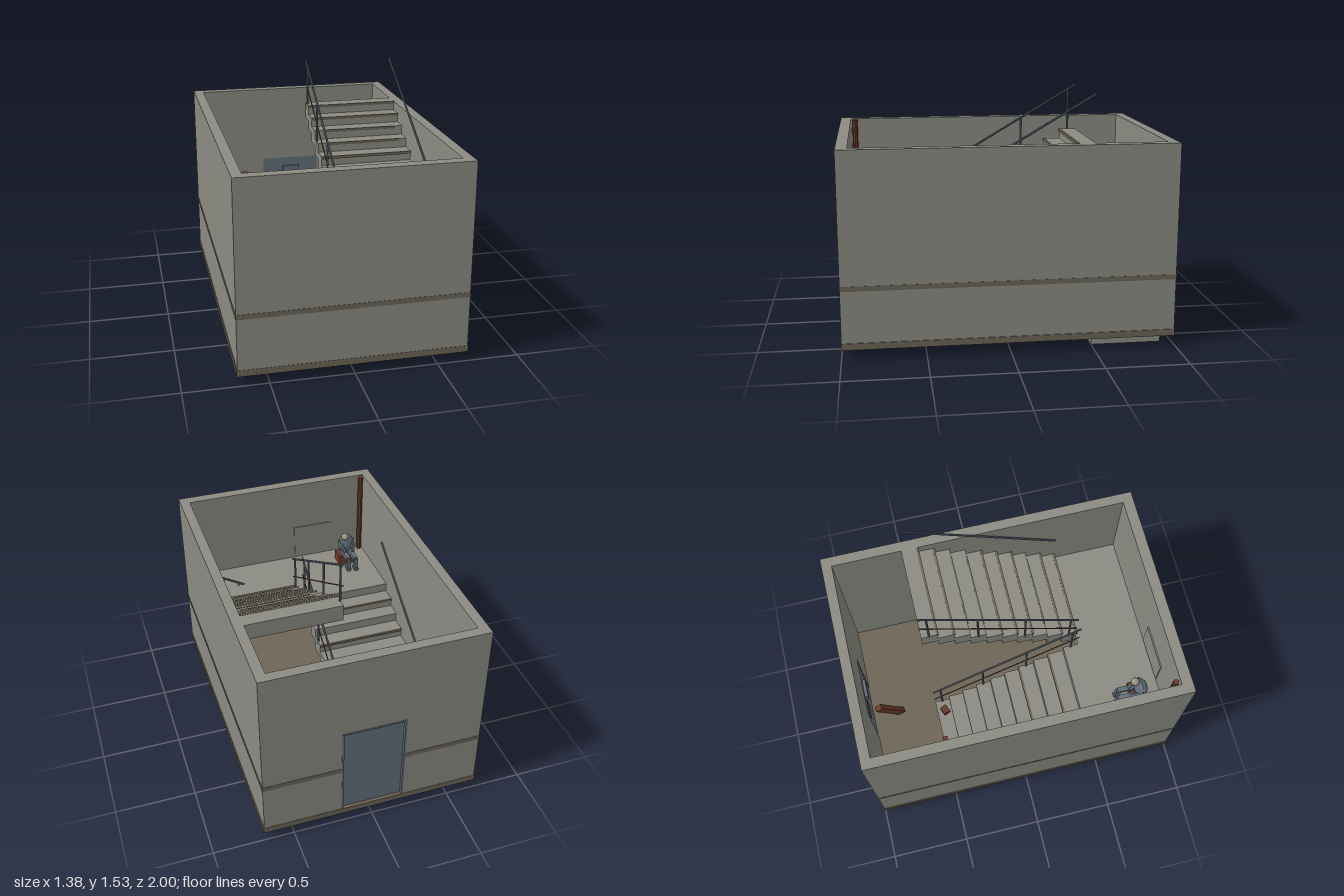
import * as THREE from 'three';

const mat = (name, color) => {
  const m = new THREE.MeshStandardMaterial({ color, flatShading: true });
  m.name = name;
  return m;
};

export function createModel() {
  const root = new THREE.Group();
  root.name = 'stairwell';
  const concrete = mat('concrete', 0x8b8b83);
  const brown = mat('brownPaint', 0x6c6557);
  const steel = mat('steel', 0x636e7a);
  const rust = mat('rust', 0x6b3a2a);
  const skin = mat('paleSkin', 0xa39a86);

  const add = (name, geo, m, parent = root) => {
    const mesh = new THREE.Mesh(geo, m);
    mesh.name = name;
    parent.add(mesh);
    return mesh;
  };
  // Box given by its limits on each axis
  const box = (name, m, [x0, x1], [y0, y1], [z0, z1], parent = root) => {
    const b = add(name, new THREE.BoxGeometry(x1 - x0, y1 - y0, z1 - z0), m, parent);
    b.position.set((x0 + x1) / 2, (y0 + y1) / 2, (z0 + z1) / 2);
    return b;
  };
  // Round bar between two points
  const bar = (name, m, a, b, r, parent = root, sides = 8) => {
    const p = new THREE.Vector3(...a), q = new THREE.Vector3(...b);
    const c = add(name, new THREE.CylinderGeometry(r, r, p.distanceTo(q), sides), m, parent);
    c.position.copy(p).lerp(q, 0.5);
    c.quaternion.setFromUnitVectors(new THREE.Vector3(0, 1, 0), q.sub(p).normalize());
    return c;
  };

  // Base slab, lower landing slab and outer walls with a doorway at the back
  const W = 0.683, IN = 0.62, D = 0.998, ZB = -0.935, ZF = 0.93, TOP = 1.24, FLOOR = 0.1;
  box('baseSlab', brown, [-0.688, 0.688], [0.06, FLOOR], [-1, 1]);
  box('lowerLandingSlab', concrete, [-IN, IN], [0, 0.06], [-0.93, -0.5]);
  const walls = new THREE.Group();
  walls.name = 'walls';
  root.add(walls);
  const H = [FLOOR, TOP], DOOR = 0.2, DTOP = 0.72;
  box('frontWall', concrete, [-W, W], H, [ZF, D], walls);
  for (const s of [-1, 1]) {
    const span = (a, b) => (s > 0 ? [a, b] : [-b, -a]);
    box('sideWall', concrete, span(IN, W), H, [ZB, ZF], walls);
    box('backWall', concrete, span(DOOR, W), H, [-D, ZB], walls);
    box('sideStripe', brown, span(W, W + 0.002), [0.415, 0.445], [-1, 1], walls);
    box('backStripe', brown, span(DOOR, W), [0.415, 0.445], [-1, -D], walls);
    box('doorJamb', steel, span(DOOR - 0.012, DOOR), [FLOOR, DTOP], [-D - 0.002, ZB], walls);
  }
  box('frontStripe', brown, [-W, W], [0.415, 0.445], [D, 1], walls);
  box('doorLintel', concrete, [-DOOR, DOOR], [DTOP, TOP], [-D, ZB], walls);
  box('doorHead', steel, [-DOOR, DOOR], [DTOP - 0.012, DTOP], [-D - 0.002, ZB], walls);
  box('door', steel, [-DOOR + 0.012, DOOR - 0.012], [FLOOR, DTOP - 0.012], [-0.98, -0.94], walls);

  // Two flights of ten steps joined by the middle landing
  const RISE = 0.059, THICK = 0.104;
  const MID = 0.65;
  box('middleLanding', concrete, [-IN, IN], [MID - THICK, MID], [0.5, ZF]);
  for (let i = 0; i < 10; i++) {
    const ya = 0.06 + RISE * (i + 1), za = -0.5 + 0.1 * i;
    box('lowerStep', concrete, [-IN, -0.03], [ya - THICK, ya], [za, za + 0.1]);
    if (i === 6 || i === 8)
      box('lowerNosing', brown, [-IN, -0.03], [ya - 0.015, ya + 0.002], [za - 0.008, za + 0.006]);
    const yb = MID + RISE * (i + 1), zb = 0.5 - 0.1 * i;
    box('upperStep', concrete, [0.025, IN], [yb - THICK, yb], [zb - 0.1, zb]);
    const chipped = i === 2 || i === 6 || i === 7;
    box('upperNosing', brown, [chipped ? 0.1 : 0.025, chipped ? 0.57 : IN],
      [yb - 0.015, yb + 0.002], [zb - 0.006, zb + (chipped ? 0.004 : 0.009)]);
  }

  // Handrails: inner ones stand on posts, outer ones run along the walls
  const flights = [
    { inner: -0.035, outer: -0.612, dir: 1, base: 0.06 },
    { inner: 0.03, outer: 0.608, dir: -1, base: MID },
  ];
  for (const { inner, outer, dir, base } of flights) {
    const railing = new THREE.Group();
    railing.name = 'railing';
    root.add(railing);
    const at = (z, up) => base + 0.59 * (0.5 + dir * z) + up;
    for (const x of [inner, outer])
      bar('handrail', steel, [x, at(-0.5, 0.283), -0.5], [x, at(0.5, 0.283), 0.5], 0.007, railing);
    bar('midRail', rust, [inner, at(-0.5, 0.14), -0.5], [inner, at(0.5, 0.14), 0.5], 0.004, railing);
    for (const z of [-0.45, -0.15, 0.15, 0.45])
      bar('post', steel, [inner, at(z, 0.0), z], [inner, at(z, 0.28), z], 0.007, railing);
    for (const z of [-0.4, 0, 0.4]) {
      const wall = Math.sign(outer) * IN;
      bar('railBracket', steel, [outer, at(z, 0.27), z], [wall, at(z, 0.27), z], 0.004, railing);
    }
  }

  // Rusty fittings on the lower landing
  box('wallCabinet', rust, [-IN, -0.58], [0.25, 0.605], [-0.8, -0.61]);
  const crate = new THREE.Group();
  crate.name = 'crate';
  crate.position.set(-0.535, FLOOR, -0.645);
  root.add(crate);
  box('crateBody', rust, [-0.05, 0.05], [0, 0.1], [-0.055, 0.055], crate);
  for (const s of [-1, 1]) {
    box('crateRim', rust, [-0.057, 0.057], [0.09, 0.115], [s * 0.057 - 0.006, s * 0.057 + 0.006], crate);
    box('crateRim', rust, [s * 0.051 - 0.006, s * 0.051 + 0.006], [0.09, 0.115], [-0.057, 0.057], crate);
  }
  const plank = add('leaningPlank', new THREE.BoxGeometry(0.035, 0.3, 0.05), rust);
  plank.position.set(-0.045, 0.23, -0.815);
  plank.rotation.set(-0.5, 0.17, 0, 'YXZ');
  box('doorSign', steel, [-0.06, 0.06], [0.6, 0.66], [-0.936, -0.915]);
  box('doorPatch', brown, [-0.165, -0.06], [0.5, 0.6], [-0.936, -0.93]);

  // Rubble on the first steps
  const rubble = [
    [-0.345, 0.135, -0.49, 0.09, 0.035, 0.035, 0, rust],
    [-0.11, 0.139, -0.445, 0.055, 0.04, 0.045, 0.4, rust],
    [-0.55, 0.139, -0.435, 0.055, 0.04, 0.04, 0.4, steel],
    [-0.5, 0.195, -0.35, 0.05, 0.035, 0.04, 0.5, concrete],
  ];
  for (const [x, y, z, w, h, d, turn, m] of rubble) {
    const r = add('rubble', new THREE.BoxGeometry(w, h, d), m);
    r.position.set(x, y, z);
    r.rotation.y = turn;
  }

  // Corner pipe and plates on the walls
  bar('cornerPipe', rust, [-0.597, FLOOR, 0.903], [-0.597, 1.235, 0.903], 0.018);
  box('wallPlate', concrete, [-0.39, -0.11], [0.68, 0.9], [ZF - 0.008, ZF]);
  const patch = add('plasterPatch', new THREE.CylinderGeometry(0.1, 0.1, 0.006, 9), brown);
  patch.rotation.z = Math.PI / 2;
  patch.position.set(IN - 0.002, 0.84, -0.12);

  // Seated figure on a box, legs stretched towards the stairs
  const figure = new THREE.Group();
  figure.name = 'seatedFigure';
  figure.position.set(-0.455, MID, 0.79);
  root.add(figure);
  box('seatBox', rust, [-0.045, 0.07], [0, 0.07], [-0.06, 0.03], figure);
  const torso = add('torso', new THREE.IcosahedronGeometry(1, 1), steel, figure);
  torso.scale.set(0.06, 0.075, 0.042);
  torso.position.set(0, 0.135, 0);
  const head = add('head', new THREE.IcosahedronGeometry(0.027, 1), skin, figure);
  head.position.set(0.022, 0.215, -0.04);
  for (const [x, z] of [[-0.022, -0.17], [0.028, -0.16]]) {
    box('thigh', steel, [x - 0.015, x + 0.015], [0.07, 0.1], [z + 0.02, 0], figure);
    box('shin', steel, [x - 0.014, x + 0.014], [0, 0.09], [z + 0.01, z + 0.04], figure);
    box('foot', steel, [x - 0.014, x + 0.014], [0, 0.02], [z, z + 0.04], figure);
  }
  for (const s of [-1, 1])
    bar('arm', steel, [s * 0.05, 0.17, 0], [s * 0.03, 0.1, -0.07], 0.012, figure, 6);

  return root;
}
